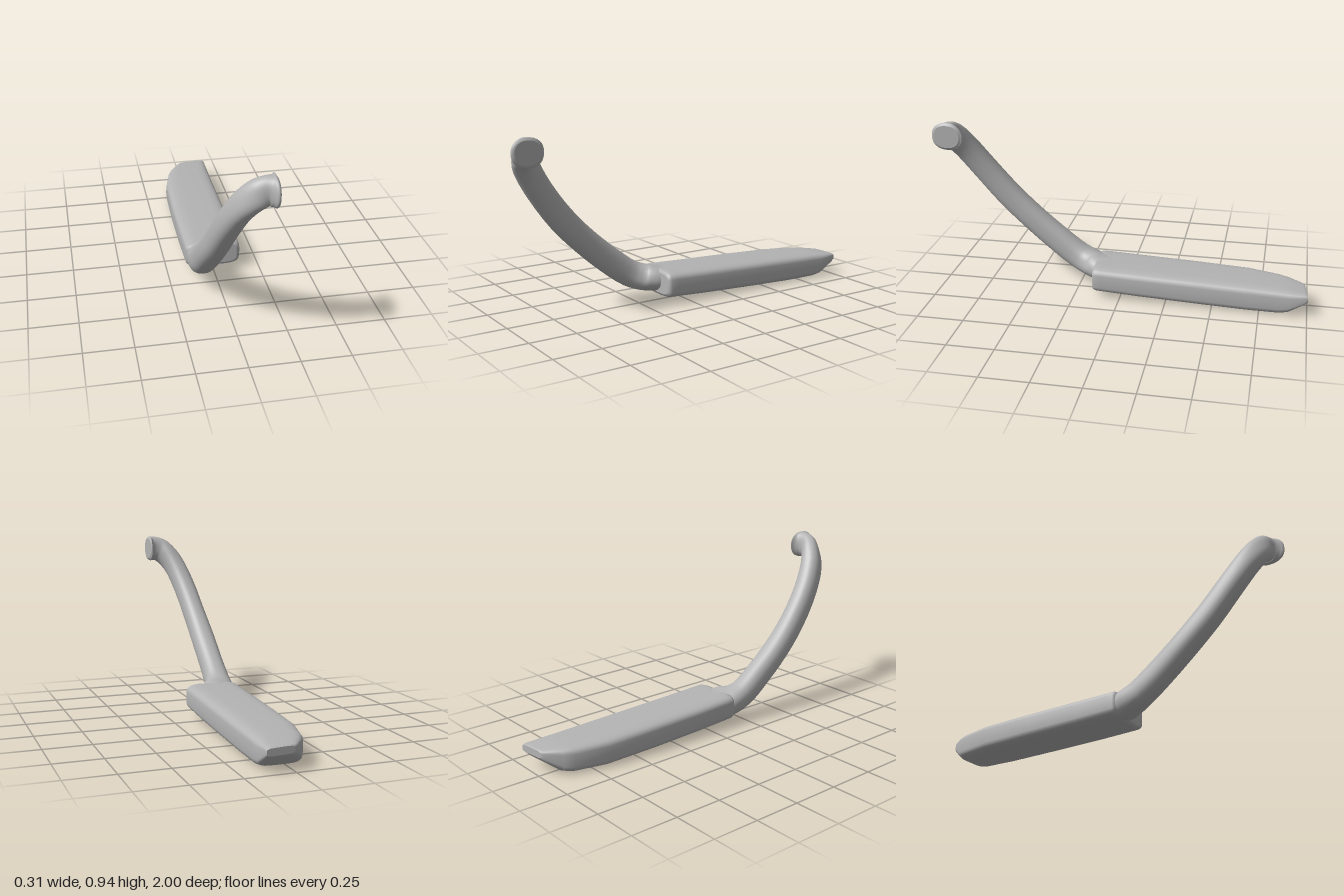
import * as THREE from 'three';

const SIDES = 32;

// Point on a squarish oval: power 2 is an ellipse, higher is boxier
function oval(angle, power) {
  const c = Math.cos(angle), s = Math.sin(angle), e = 2 / power;
  return [Math.sign(c) * Math.abs(c) ** e, Math.sign(s) * Math.abs(s) ** e];
}

// Skin a list of rings and close both ends
function loft(rings) {
  const pos = [], idx = [], n = SIDES;
  rings.forEach((ring) => ring.forEach((p) => pos.push(p.x, p.y, p.z)));
  for (let i = 0; i < rings.length - 1; i++) {
    for (let j = 0; j < n; j++) {
      const a = i * n + j, b = i * n + (j + 1) % n;
      idx.push(a, b, a + n, b, b + n, a + n);
    }
  }
  [rings[0], rings[rings.length - 1]].forEach((ring, end) => {
    const start = pos.length / 3;
    const mid = new THREE.Vector3();
    ring.forEach((p) => { pos.push(p.x, p.y, p.z); mid.addScaledVector(p, 1 / n); });
    pos.push(mid.x, mid.y, mid.z);
    for (let j = 0; j < n; j++) {
      const a = start + j, b = start + (j + 1) % n;
      if (end) idx.push(start + n, a, b);
      else idx.push(start + n, b, a);
    }
  });
  const g = new THREE.BufferGeometry();
  g.setAttribute('position', new THREE.Float32BufferAttribute(pos, 3));
  g.setIndex(idx);
  g.computeVertexNormals();
  return g;
}

// Long flat pad: each row is z, left x, right x, bottom y, top y, end skew
function padGeometry() {
  const rows = [
    [-1.0, 0.0, 0.145, 0.085, 0.122, 0.12],
    [-0.985, -0.02, 0.15, 0.07, 0.129, 0.08],
    [-0.9, -0.075, 0.152, 0.012, 0.137, 0],
    [-0.85, -0.1, 0.152, 0.002, 0.14, 0],
    [-0.68, -0.14, 0.15, 0.0, 0.147, 0],
    [-0.4, -0.151, 0.148, 0.009, 0.157, 0],
    [-0.1, -0.155, 0.146, 0.021, 0.167, 0],
    [0.1, -0.155, 0.144, 0.032, 0.175, 0],
    [0.13, -0.155, 0.143, 0.034, 0.176, 0],
    [0.143, -0.15, 0.137, 0.039, 0.172, 0],
    [0.148, -0.14, 0.125, 0.05, 0.16, 0],
  ];
  return loft(rows.map(([z, x0, x1, y0, y1, skew]) =>
    Array.from({ length: SIDES }, (_, j) => {
      const [c, s] = oval((j / SIDES) * Math.PI * 2, 4.5);
      const x = (x0 + x1) / 2 + c * (x1 - x0) / 2;
      return new THREE.Vector3(x, (y0 + y1) / 2 + s * (y1 - y0) / 2, z + (x1 - x) * skew);
    })));
}

// Rising arm: each row is centre x, y, z, then half width and half height
function armGeometry() {
  const rows = [
    [-0.04, 0.106, 0.09, 0.11, 0.068],
    [-0.05, 0.11, 0.14, 0.105, 0.07],
    [-0.07, 0.119, 0.19, 0.085, 0.072],
    [-0.085, 0.147, 0.26, 0.07, 0.072],
    [-0.09, 0.235, 0.38, 0.065, 0.072],
    [-0.09, 0.35, 0.515, 0.065, 0.07],
    [-0.08, 0.485, 0.65, 0.061, 0.07],
    [-0.055, 0.65, 0.78, 0.06, 0.068],
    [-0.012, 0.78, 0.866, 0.057, 0.068],
    [0.045, 0.85, 0.905, 0.05, 0.07],
    [0.085, 0.867, 0.912, 0.046, 0.071],
    [0.108, 0.868, 0.915, 0.062, 0.072],
    [0.12, 0.868, 0.916, 0.083, 0.073],
    [0.129, 0.868, 0.916, 0.068, 0.06],
  ];
  const path = new THREE.CatmullRomCurve3(rows.map((r) => new THREE.Vector3(r[0], r[1], r[2])));
  const size = new THREE.CatmullRomCurve3(rows.map((r) => new THREE.Vector3(r[3], r[4], 0)));
  const steps = (rows.length - 1) * 3;
  const rings = [];
  for (let i = 0; i <= steps; i++) {
    const t = i / steps;
    const centre = path.getPoint(t), r = size.getPoint(t), dir = path.getTangent(t);
    // The upward side of the section turns upright toward the end disc
    const up = new THREE.Vector3(0, 0.75, -0.65)
      .lerp(new THREE.Vector3(0, 1, 0), THREE.MathUtils.smoothstep(t, 0.5, 0.8));
    const u = up.clone().cross(dir).normalize();
    const v = dir.clone().cross(u).normalize();
    rings.push(Array.from({ length: SIDES }, (_, j) => {
      const [c, s] = oval((j / SIDES) * Math.PI * 2, 2.3);
      return centre.clone().addScaledVector(u, c * r.x).addScaledVector(v, s * r.y);
    }));
  }
  return loft(rings);
}

export function createModel() {
  const group = new THREE.Group();
  const grey = new THREE.MeshStandardMaterial({ color: 0xb4b4b4 });
  grey.name = 'plain grey';
  const add = (name, geometry) => {
    const mesh = new THREE.Mesh(geometry, grey);
    mesh.name = name;
    group.add(mesh);
  };
  add('pad', padGeometry());
  add('curvedArm', armGeometry());
  return group;
}
